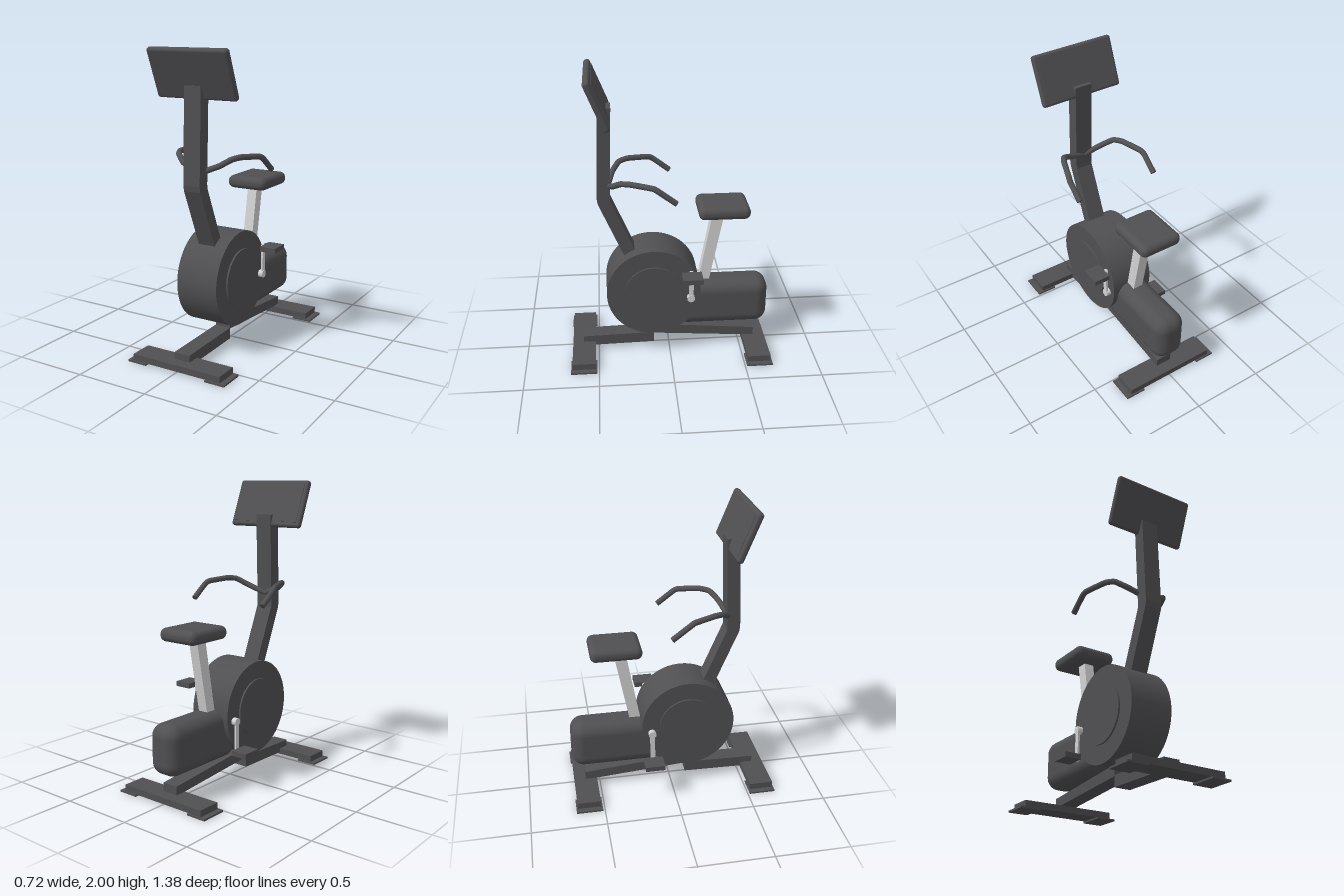
import * as THREE from 'three';
import { RoundedBoxGeometry } from 'three/addons/geometries/RoundedBoxGeometry.js';

export function createModel() {
  const root = new THREE.Group();
  const frame = new THREE.MeshStandardMaterial({ color: 0x505053 });
  frame.name = 'charcoal';
  const metal = new THREE.MeshStandardMaterial({ color: 0xd2d2d2 });
  metal.name = 'silver';

  const add = (name, geometry, material, x = 0, y = 0, z = 0) => {
    const mesh = new THREE.Mesh(geometry, material);
    mesh.name = name;
    mesh.position.set(x, y, z);
    root.add(mesh);
    return mesh;
  };
  const box = (name, w, h, d, x, y, z, mat = frame) =>
    add(name, new THREE.BoxGeometry(w, h, d), mat, x, y, z);
  // Side profile given as [z, y] points, extruded across x
  const profile = (name, points, width, mat = frame) => {
    const shape = new THREE.Shape(points.map(([z, y]) => new THREE.Vector2(z, y)));
    const geo = new THREE.ExtrudeGeometry(shape, { depth: width, bevelEnabled: false });
    geo.translate(0, 0, -width / 2).rotateY(-Math.PI / 2);
    return add(name, geo, mat);
  };
  // Cylinder lying along x
  const disc = (name, r, width, x, y, z, mat = frame, sides = 48) =>
    add(name, new THREE.CylinderGeometry(r, r, width, sides).rotateZ(Math.PI / 2), mat, x, y, z);

  // Floor stabilisers with foot pads
  for (const [end, z] of [['front', 0.602], ['rear', -0.602]]) {
    box(end + 'Stabiliser', 0.65, 0.043, 0.158, 0, 0.0335, z);
    for (const s of [-1, 1]) box(end + 'FootPad', 0.14, 0.012, 0.178, s * 0.292, 0.006, z);
  }

  // Base beams
  profile('frontBeam', [[0.605, 0.1], [0.605, 0.025], [0.11, 0.035], [0.11, 0.112]], 0.114);
  profile('rearBeam', [[0.11, 0.177], [0.11, 0.105], [-0.602, 0.05], [-0.602, 0.113]], 0.112);

  // Flywheel drum and side covers
  disc('flywheel', 0.319, 0.296, 0, 0.485, 0.112, frame, 64);
  for (const s of [-1, 1]) disc('flywheelCover', 0.198, 0.02, s * 0.15, 0.487, 0.112);

  // Rear housing
  add('rearHousing', new RoundedBoxGeometry(0.226, 0.338, 0.64, 6, 0.085), frame, 0, 0.349, -0.367);

  // Seat and post
  profile('seatPost', [[-0.296, 1.03], [-0.376, 1.03], [-0.266, 0.45], [-0.192, 0.45]], 0.07, metal);
  add('seat', new RoundedBoxGeometry(0.296, 0.088, 0.343, 5, 0.04), frame, 0, 1.052, -0.363);

  // Bent upright column
  profile('column', [
    [0.452, 1.77], [0.474, 1.16], [0.468, 1.12], [0.285, 0.69],
    [0.2, 0.7], [0.386, 1.135], [0.388, 1.16], [0.366, 1.77],
  ], 0.12);

  // Tilted console with its screen on the rider's side
  const consoleGroup = new THREE.Group();
  consoleGroup.name = 'console';
  consoleGroup.position.set(0, 1.842, 0.451);
  consoleGroup.rotation.x = 0.385;
  root.add(consoleGroup);
  const panel = add('consolePanel', new RoundedBoxGeometry(0.574, 0.332, 0.044, 4, 0.018), frame);
  const screen = box('screen', 0.52, 0.27, 0.006, 0, 0, -0.022);
  consoleGroup.add(panel, screen);

  for (const s of [-1, 1]) {
    // Handlebar sweeping out and back
    const path = [
      [0, 1.225, 0.4], [0.13, 1.277, 0.365], [0.195, 1.318, 0.32], [0.228, 1.327, 0.26],
      [0.278, 1.315, 0.12], [0.288, 1.297, 0.085], [0.288, 1.212, -0.027],
    ].map(([x, y, z]) => new THREE.Vector3(s * x, y, z));
    const curve = new THREE.CatmullRomCurve3(path, false, 'catmullrom', 0.2);
    add('handlebar', new THREE.TubeGeometry(curve, 48, 0.019, 14), frame);
    const end = path[path.length - 1];
    const cap = add('handlebarEnd', new THREE.CircleGeometry(0.019, 14), frame, end.x, end.y, end.z);
    cap.lookAt(end.clone().add(curve.getTangent(1)));

    // Crank, spindle and pedal, opposed on the two sides
    const cy = 0.447, cz = -0.14, py = cy + s * 0.195;
    disc('crankHub', 0.026, 0.07, s * 0.146, cy, cz, metal, 20);
    box('crankArm', 0.014, 0.19, 0.032, s * 0.172, (cy + py) / 2, cz, metal);
    disc('crankTip', 0.016, 0.014, s * 0.172, py, cz, metal, 20);
    disc('pedalSpindle', 0.01, 0.05, s * 0.185, py, cz, metal, 12);
    box('pedal', 0.114, 0.034, 0.134, s * 0.241, py, cz);
  }
  return root;
}
